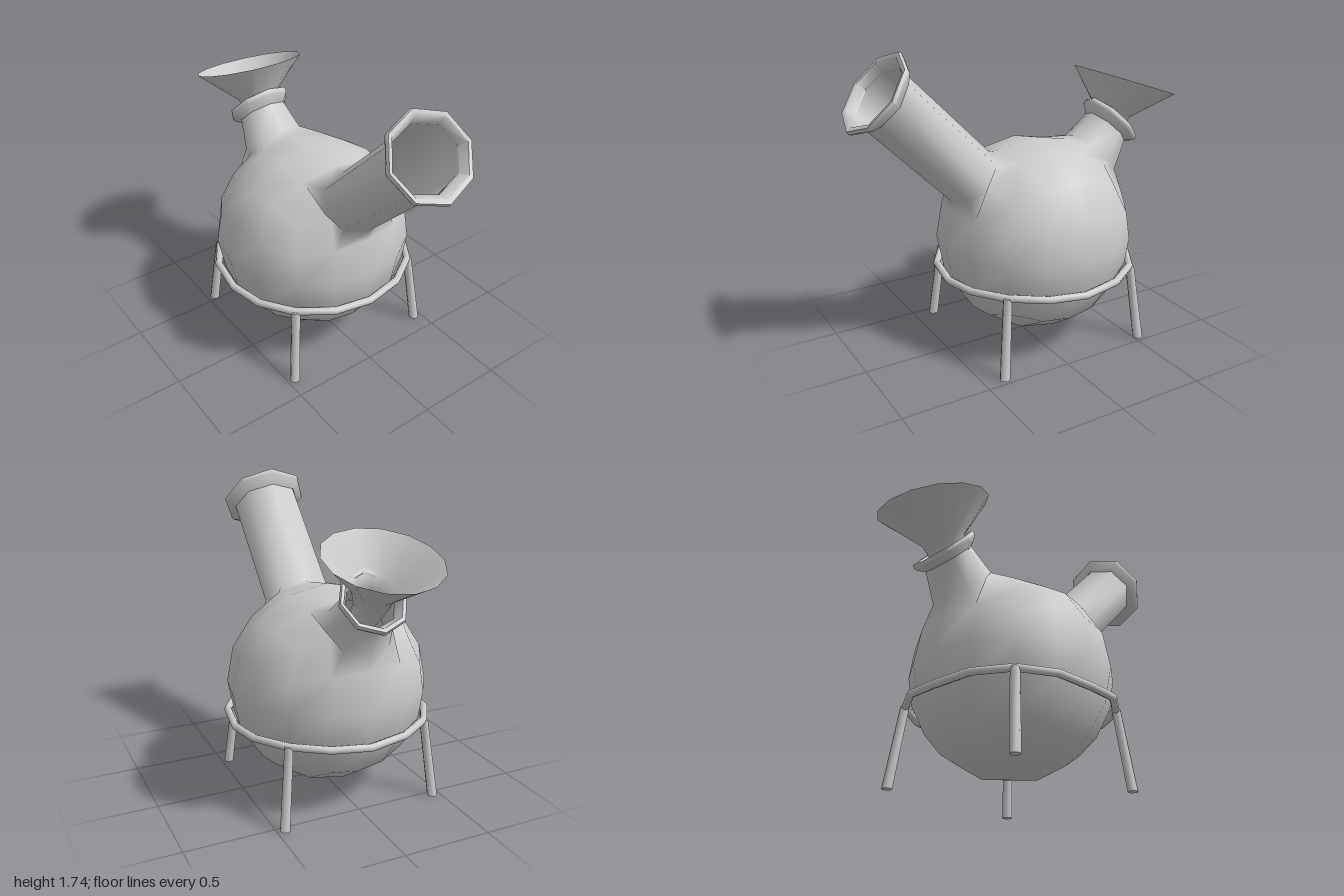
import * as THREE from 'three';
import { mergeGeometries, mergeVertices, toCreasedNormals } from 'three/addons/utils/BufferGeometryUtils.js';

const material = new THREE.MeshStandardMaterial({ color: 0xcccccc, side: THREE.DoubleSide });
const CENTER = new THREE.Vector3(-0.075, 0.622, 0);
const RADIUS = 0.567;

// Oval ring of n points in the xy-leaning plane; s = side (+1 / -1), elev = axis elevation in degrees,
// lift = shift along the axis.
function ring(s, x, y, elev, ru, rz, n = 8, lift = 0, z = 0) {
  const e = THREE.MathUtils.degToRad(elev);
  const cx = x + s * Math.cos(e) * lift, cy = y + Math.sin(e) * lift;
  return Array.from({ length: n }, (_, k) => {
    const t = (k / n) * Math.PI * 2, u = Math.cos(t) * ru;
    return new THREE.Vector3(cx - s * Math.sin(e) * u, cy + Math.cos(e) * u, z + s * Math.sin(t) * rz);
  });
}

// Skin joining successive rings
function loft(rings) {
  const n = rings[0].length, index = [];
  for (let i = 0; i < rings.length - 1; i++) {
    for (let k = 0; k < n; k++) {
      const a = i * n + k, b = i * n + (k + 1) % n;
      index.push(a, b, b + n, a, b + n, a + n);
    }
  }
  const g = new THREE.BufferGeometry().setFromPoints(rings.flat());
  g.setIndex(index);
  g.computeVertexNormals();
  return g;
}

function part(name, geometry) {
  const mesh = new THREE.Mesh(geometry, material);
  mesh.name = name;
  return mesh;
}

// Cube grid point to sphere
const toSphere = (p) => {
  const t = (v) => Math.tan(v * Math.PI / 4);
  return p.set(t(p.x), t(p.y), t(p.z)).normalize().multiplyScalar(RADIUS).add(CENTER);
};

// Rounded cube-sphere with an eight-sided opening at each upper side
function shell() {
  const g = new THREE.BoxGeometry(2, 2, 2, 4, 4, 4);
  g.deleteAttribute('uv');
  g.deleteAttribute('normal');
  const pos = g.attributes.position, p = new THREE.Vector3(), index = g.index.array, kept = [];
  for (let i = 0; i < index.length; i += 3) {
    const tri = [index[i], index[i + 1], index[i + 2]];
    const c = new THREE.Vector3();
    tri.forEach((v) => c.add(p.fromBufferAttribute(pos, v)));
    c.divideScalar(3);
    if (!(Math.abs(c.x) > 0.5 && c.y > 0.5 && Math.abs(c.z) < 0.5)) kept.push(...tri);
  }
  g.setIndex(kept);
  for (let i = 0; i < pos.count; i++) {
    toSphere(p.fromBufferAttribute(pos, i));
    pos.setXYZ(i, p.x, p.y, p.z);
  }
  return g;
}

// Edge of the opening on side s, ordered like ring()
const opening = (s) => [
  [0.5, 1, 0], [0.5, 1, 0.5], [1, 1, 0.5], [1, 0.5, 0.5],
  [1, 0.5, 0], [1, 0.5, -0.5], [1, 1, -0.5], [0.5, 1, -0.5],
].map(([x, y, z]) => toSphere(new THREE.Vector3(x * s, y, z * s)));

// Flared collar around the mouth of a neck: [offset from wall, shift along axis]
function lip(s, x, y, elev, ru, rz, flare) {
  const profile = [[0, -0.055], [0.9, -0.015], [1, 0], [0.9, 0.018], [0.5, 0.015], [0, -0.03], [0, -0.055]];
  return toCreasedNormals(loft(profile.map(([o, d]) =>
    ring(s, x, y, elev, ru + o * flare, rz + o * flare * 0.75, 8, d))), 0.9);
}

export function createModel() {
  const group = new THREE.Group();

  // Flask: round body fused with the long spout and the short neck
  const spout = loft([
    opening(1),
    ring(1, 0.33, 1.02, 45, 0.172, 0.208),
    ring(1, 0.82, 1.515, 40, 0.175, 0.208),
  ]);
  const neck = loft([
    opening(-1),
    ring(-1, -0.47, 1.04, 45, 0.17, 0.19),
    ring(-1, -0.59, 1.195, 43, 0.13, 0.145),
  ]);
  [spout, neck].forEach((g) => g.deleteAttribute('normal'));
  const flask = mergeVertices(mergeGeometries([shell(), spout, neck]), 1e-3);
  flask.computeVertexNormals();
  group.add(part('flask', flask));

  // Collars
  group.add(part('spoutLip', lip(1, 0.85, 1.54, 38.5, 0.177, 0.21, 0.066)));
  group.add(part('neckLip', lip(-1, -0.61, 1.217, 43, 0.13, 0.145, 0.06)));

  // Funnel with its stem running down into the neck
  group.add(part('funnel', loft([
    ring(-1, -0.46, 1.05, 45, 0.07, 0.07, 14),
    ring(-1, -0.575, 1.18, 48, 0.085, 0.085, 14),
    ring(-1, -0.62, 1.28, 63, 0.122, 0.122, 14),
    ring(-1, -0.705, 1.45, 71, 0.311, 0.313, 14),
  ])));

  // Stand: hoop that rises at the legs, and four splayed legs
  const stand = new THREE.Group();
  stand.name = 'stand';
  const hoopPoints = Array.from({ length: 16 }, (_, k) => {
    const t = (k / 16) * Math.PI * 2, rise = Math.abs(Math.sin(2 * t));
    const r = 0.557 + 0.018 * rise;
    return new THREE.Vector3(CENTER.x + r * Math.cos(t), 0.432 + 0.02 * rise, r * Math.sin(t));
  });
  const hoop = new THREE.CatmullRomCurve3(hoopPoints, true);
  stand.add(part('hoop', new THREE.TubeGeometry(hoop, 16, 0.022, 8, true)));
  for (const sx of [1, -1]) {
    for (const sz of [1, -1]) {
      const legRing = (d, y, r) => ring(1, CENTER.x + sx * d, y, 90, r, r, 8, 0, sz * d);
      const leg = loft([
        legRing(0.455, 0, 0), legRing(0.455, 0, 0.029),
        legRing(0.408, 0.455, 0.025), legRing(0.407, 0.468, 0),
      ]);
      stand.add(part('leg', toCreasedNormals(leg, 0.9)));
    }
  }
  group.add(stand);
  return group;
}
